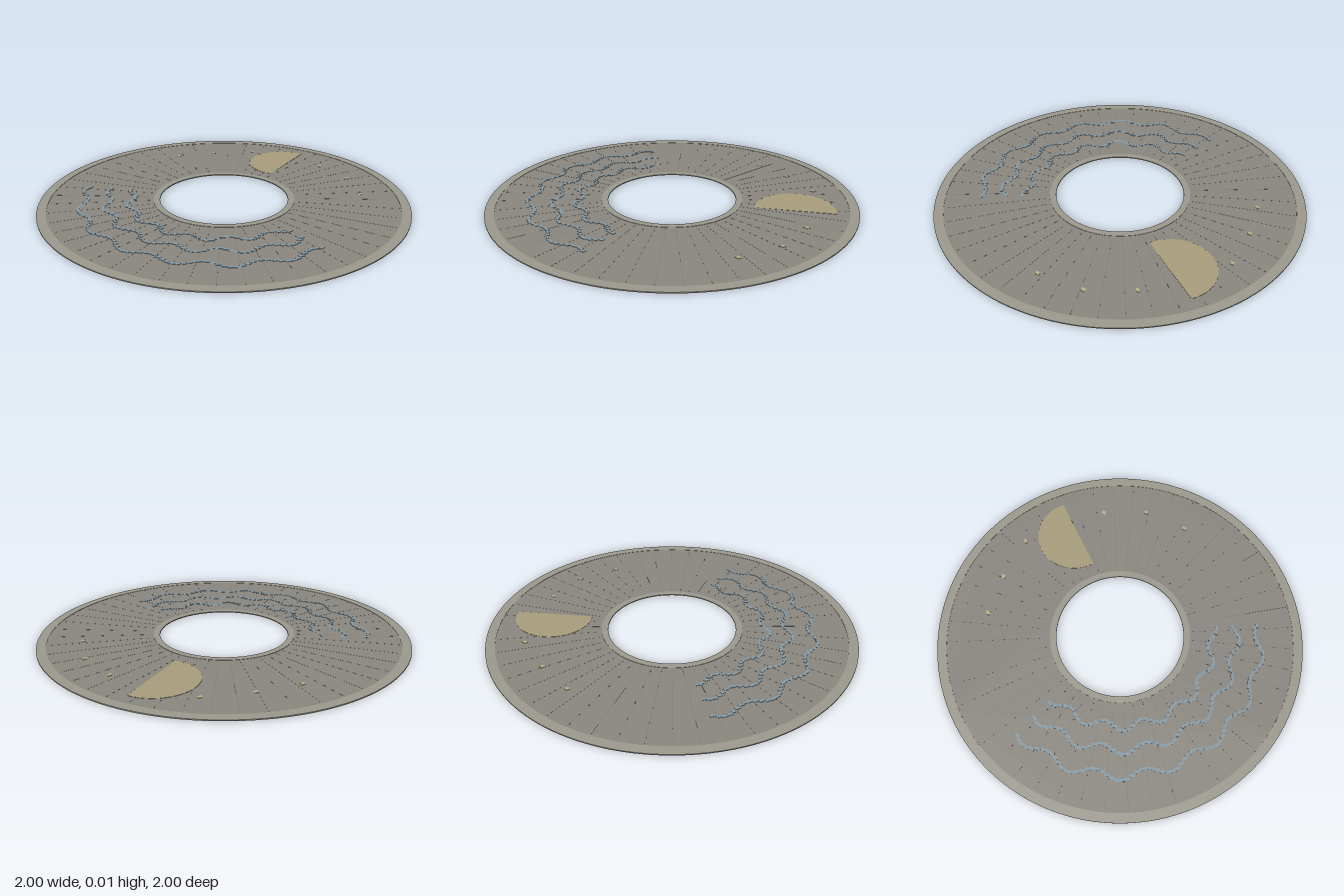
import * as THREE from 'three';
import { mergeVertices } from 'three/addons/utils/BufferGeometryUtils.js';

const BASE = 0.004, TOP = 0.0058;
const rad = THREE.MathUtils.degToRad;
const mat = (color) => new THREE.MeshStandardMaterial({ color });

function add(parent, name, geometry, material) {
  const mesh = new THREE.Mesh(geometry, material);
  mesh.name = name;
  parent.add(mesh);
  return mesh;
}

// Flat ring with square edges, lying between heights y0 and y1
function ring(inner, outer, y0, y1) {
  const shape = new THREE.Shape().absarc(0, 0, outer, 0, Math.PI * 2);
  shape.holes.push(new THREE.Path().absarc(0, 0, inner, 0, Math.PI * 2, true));
  return new THREE.ExtrudeGeometry(shape, { depth: y1 - y0, bevelEnabled: false, curveSegments: 96 })
    .rotateX(-Math.PI / 2).translate(0, y0, 0);
}

export function createModel() {
  const model = new THREE.Group();
  model.name = 'engravedDisc';
  const stone = mat(0x8a8680), rim = mat(0x9c998e), gold = mat(0xa89e7c);
  const star = mat(0xb8b088), water = mat(0x849ba8), groove = mat(0x7c7873);

  // Disc body and raised rims
  add(model, 'disc', ring(0.35, 1, 0, BASE), stone);
  add(model, 'outerRim', ring(0.95, 1, BASE, TOP), rim);
  add(model, 'innerRim', ring(0.35, 0.385, BASE, TOP), rim);

  // Hairline rays running between the rims
  const rays = new THREE.Group();
  rays.name = 'rays';
  model.add(rays);
  const rayGeometry = new THREE.BoxGeometry(0.54, 0.0004, 0.002).translate(0.67, BASE + 0.0002, 0);
  for (let i = 0; i < 48; i++) {
    add(rays, 'ray', rayGeometry, groove).rotation.y = (i / 48) * Math.PI * 2;
  }

  // Half-round moon inlay, with softly blended normals
  const moonShape = new THREE.Shape();
  moonShape.moveTo(0.045, 0.457);
  moonShape.lineTo(0.045, 0.883);
  moonShape.absarc(0.025, 0.67, 0.214, rad(85), rad(275), false);
  let moon = new THREE.ExtrudeGeometry(moonShape, { depth: TOP - BASE, bevelEnabled: false, curveSegments: 24 })
    .rotateX(-Math.PI / 2).translate(0, BASE, 0);
  moon.deleteAttribute('normal');
  moon.deleteAttribute('uv');
  moon = mergeVertices(moon);
  moon.computeVertexNormals();
  add(model, 'moon', moon, gold);

  // Small diamond stars
  const stars = new THREE.Group();
  stars.name = 'stars';
  model.add(stars);
  const starGeometry = new THREE.CylinderGeometry(0.018, 0.018, TOP - BASE, 4).toNonIndexed().scale(0.72, 1, 1);
  [[-0.61, -0.43], [-0.45, -0.6], [-0.25, -0.755], [0.24, -0.735], [0.465, -0.63], [0.62, -0.44]]
    .forEach(([x, z]) => add(stars, 'star', starGeometry, star).position.set(x, (BASE + TOP) / 2, z));

  // Three rippling arcs of short dashes; angles are measured from +z towards +x
  const waves = [
    { radius: 0.51, period: 23, peak: 0, count: 52 },
    { radius: 0.633, period: 21.3, peak: -2, count: 62 },
    { radius: 0.765, period: 20, peak: -5, count: 72 },
  ];
  const dash = new THREE.BoxGeometry(0.027, TOP - BASE, 0.014);
  waves.forEach(({ radius, period, peak, count }) => {
    const wave = new THREE.Group();
    wave.name = 'wave';
    model.add(wave);
    for (let i = 0; i < count; i++) {
      const deg = -69 + (138 * i) / (count - 1), a = rad(deg);
      const r = radius + 0.025 * Math.cos(((deg - peak) / period) * Math.PI * 2);
      const mesh = add(wave, 'waveDash', dash, water);
      mesh.position.set(r * Math.sin(a), (BASE + TOP) / 2, r * Math.cos(a));
      mesh.rotation.y = a;
    }
  });

  return model;
}
